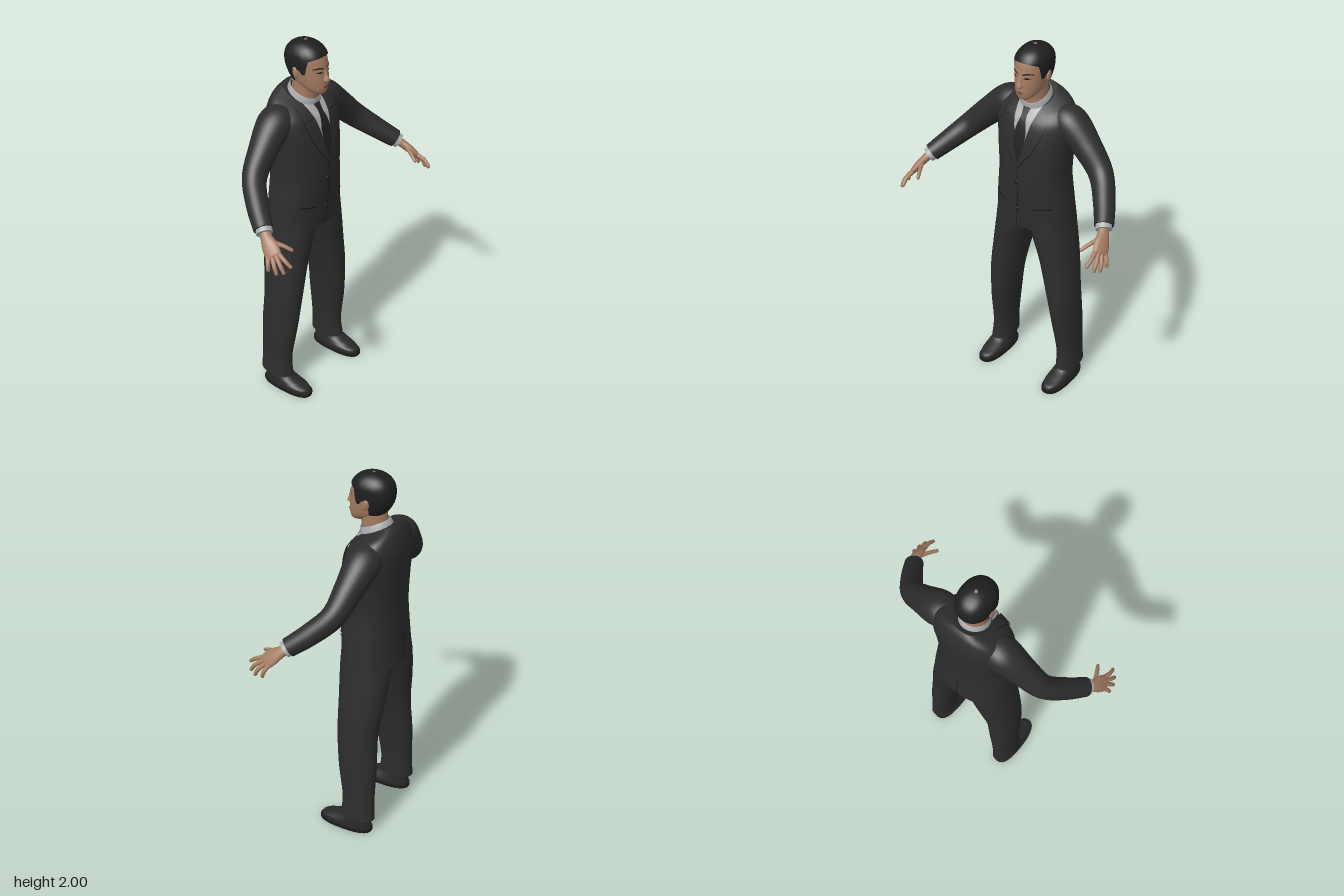
import * as THREE from 'three';

const mat = (name, color, side = THREE.FrontSide) => {
  const m = new THREE.MeshStandardMaterial({ color, side });
  m.name = name;
  return m;
};
const V = (x, y, z) => new THREE.Vector3(x, y, z);

// A ring is [x, y, z, halfWidth, halfDepth, tilt]; rings are blended by a Catmull-Rom spline.
function sample(rings, t) {
  const n = rings.length - 1, f = Math.min(Math.max(t, 0), 1) * n;
  const i = Math.min(Math.floor(f), n - 1), k = f - i;
  const at = (j, c) => rings[Math.min(Math.max(j, 0), n)][c] ?? 0;
  return [0, 1, 2, 3, 4, 5].map((c) => {
    const [a, b, d, e] = [at(i - 1, c), at(i, c), at(i + 1, c), at(i + 2, c)];
    return b + 0.5 * k * (d - a + k * (2 * a - 5 * b + 4 * d - e + k * (3 * (b - d) + e - a)));
  });
}

// Skin over rings: horizontal rings, or rings square to the path when ref is given.
function loft(rings, { n = 32, rows = 8 * (rings.length - 1), p = 2, ref = null, start = () => 0, caps = true } = {}) {
  const pos = [], idx = [];
  const pow = (v) => Math.sign(v) * Math.abs(v) ** (2 / p);
  for (let j = 0; j <= rows; j++) for (let i = 0; i < n; i++) {
    const a = (i / n) * Math.PI * 2, t0 = start(a), t = t0 + (1 - t0) * j / rows;
    const [x, y, z, rx, rz, tilt] = sample(rings, t);
    const u = V(1, 0, 0), v = V(0, -tilt, 1);
    if (ref) {
      const A = sample(rings, t - 0.01), B = sample(rings, t + 0.01);
      const T = V(B[0] - A[0], B[1] - A[1], B[2] - A[2]).normalize();
      v.copy(ref).addScaledVector(T, -ref.dot(T)).normalize();
      u.crossVectors(T, v);
    }
    const q = V(x, y, z).addScaledVector(u, rx * pow(Math.cos(a))).addScaledVector(v, rz * pow(Math.sin(a)));
    pos.push(q.x, q.y, q.z);
  }
  for (let j = 0; j < rows; j++) for (let i = 0; i < n; i++) {
    const a = j * n + i, b = j * n + (i + 1) % n;
    idx.push(a, a + n, b, b, a + n, b + n);
  }
  if (caps) for (const j of [0, rows]) {
    const base = pos.length / 3, c = sample(rings, j / rows);
    for (let i = 0; i < n * 3; i++) pos.push(pos[j * n * 3 + i]);
    pos.push(c[0], c[1], c[2]);
    for (let i = 0; i < n; i++) {
      const k = base + (i + 1) % n;
      if (j) idx.push(base + i, base + n, k); else idx.push(base + i, k, base + n);
    }
  }
  return finish(pos, idx);
}

function finish(pos, idx) {
  const g = new THREE.BufferGeometry();
  g.setAttribute('position', new THREE.Float32BufferAttribute(pos, 3));
  g.setIndex(idx);
  g.computeVertexNormals();
  return g;
}

// Height at (x, y) on the front (dir 1) or back (dir -1) of a horizontal loft.
function surfaceZ(rings, x, y, dir, p) {
  let lo = 0, hi = 1, z = 0;
  for (let k = 0; k < 24; k++) {
    const t = (lo + hi) / 2, r = sample(rings, t);
    const d = dir * r[4] * Math.max(0, 1 - Math.min(1, Math.abs((x - r[0]) / r[3])) ** p) ** (1 / p);
    z = r[2] + d;
    if (r[1] - r[5] * d < y) lo = t; else hi = t;
  }
  return z;
}

// Thin plate between two [x, y] edges, draped over a loft.
function drape(rings, A, B, lift, { dir = 1, p = 2.3 } = {}) {
  const rows = 16, cols = 6, pos = [], idx = [];
  const mean = (E) => E.reduce((s, q) => s + q[0], 0) / E.length;
  if ((mean(A) - mean(B)) * dir > 0) [A, B] = [B, A];
  const along = (E, t) => {
    const f = t * (E.length - 1), i = Math.min(Math.floor(f), E.length - 2), k = f - i;
    return [0, 1].map((c) => E[i][c] * (1 - k) + E[i + 1][c] * k);
  };
  for (let j = 0; j <= rows; j++) for (let i = 0; i <= cols; i++) {
    const a = along(A, j / rows), b = along(B, j / rows), k = i / cols;
    const x = a[0] + (b[0] - a[0]) * k, y = a[1] + (b[1] - a[1]) * k;
    pos.push(x, y, surfaceZ(rings, x, y, dir, p) + dir * lift);
  }
  for (let j = 0; j < rows; j++) for (let i = 0; i < cols; i++) {
    const a = j * (cols + 1) + i, c = a + cols + 1;
    idx.push(a, c, a + 1, a + 1, c, c + 1);
  }
  return finish(pos, idx);
}

export function createModel() {
  const root = new THREE.Group();
  root.name = 'suitedMan';
  const D = THREE.DoubleSide;
  const suit = mat('suit', 0x2d2d2d, D), seam = mat('seam', 0x191919, D), shirt = mat('shirt', 0xa9abad, D);
  const tie = mat('tie', 0x222224, D), skin = mat('skin', 0xa57c62), hair = mat('hair', 0x1f1f1f, D);
  const lips = mat('lips', 0x7f5748, D), shoe = mat('shoe', 0x292929), sole = mat('sole', 0x1c1c1c);
  const add = (name, geo, m) => {
    const mesh = new THREE.Mesh(geo, m);
    mesh.name = name;
    root.add(mesh);
    return mesh;
  };
  const flip = (list, s) => list.map(([x, ...r]) => [x * s, ...r]);

  // Jacket body
  const torso = [
    [0, 1.0, -0.118, 0.222, 0.152], [0, 1.15, -0.108, 0.207, 0.152], [0, 1.3, -0.103, 0.192, 0.152],
    [0, 1.45, -0.108, 0.202, 0.15], [0, 1.55, -0.118, 0.212, 0.144], [0, 1.63, -0.127, 0.205, 0.133, 0.1],
    [0, 1.685, -0.13, 0.165, 0.11, 0.3], [0, 1.715, -0.125, 0.086, 0.087, 0.45],
  ];
  add('jacketBody', loft(torso, { n: 48, p: 2.3 }), suit);
  add('jacketOpening', drape(torso, [[-0.004, 1.38], [-0.004, 1.2], [-0.02, 1.01]], [[0.001, 1.38], [0.001, 1.2], [-0.015, 1.01]], 0.003), seam);
  add('backVent', drape(torso, [[-0.003, 1.005], [-0.003, 1.16]], [[0.003, 1.005], [0.003, 1.16]], 0.003, { dir: -1 }), seam);
  for (const y of [1.28, 1.11]) {
    const b = add('button', new THREE.SphereGeometry(0.011, 16, 10), seam);
    b.scale.z = 0.5;
    b.position.set(-0.008, y, surfaceZ(torso, 0, y, 1, 2.3) + 0.002);
  }

  // Shirt, collar and tie
  add('shirtFront', drape(torso, [[-0.07, 1.7], [-0.052, 1.62], [0, 1.4]], [[0.07, 1.7], [0.052, 1.62], [0, 1.4]], 0.003), shirt);
  add('tieBlade', drape(torso, [[-0.014, 1.645], [-0.034, 1.56], [-0.028, 1.48], [0, 1.39]], [[0.014, 1.645], [0.034, 1.56], [0.028, 1.48], [0, 1.39]], 0.007), tie);
  add('tieKnot', drape(torso, [[-0.022, 1.678], [-0.013, 1.635]], [[0.022, 1.678], [0.013, 1.635]], 0.011), tie);
  add('shirtCollar', loft([[0, 1.695, -0.112, 0.079, 0.083, 0.45], [0, 1.725, -0.104, 0.07, 0.078, 0.45], [0, 1.738, -0.101, 0.065, 0.074, 0.45]], { caps: false }), shirt);

  // Neck and head
  add('neck', loft([[0, 1.64, -0.105, 0.06, 0.066], [0, 1.72, -0.1, 0.058, 0.068], [0, 1.82, -0.09, 0.06, 0.07]]), skin);
  const head = [
    [0, 1.74, -0.01, 0.018, 0.022], [0, 1.748, -0.018, 0.036, 0.04], [0, 1.77, -0.037, 0.055, 0.066],
    [0, 1.8, -0.062, 0.067, 0.093], [0, 1.85, -0.08, 0.076, 0.108], [0, 1.9, -0.088, 0.08, 0.11],
    [0, 1.94, -0.09, 0.077, 0.1], [0, 1.97, -0.092, 0.057, 0.074], [0, 1.986, -0.093, 0.03, 0.036], [0, 1.99, -0.093, 0.002, 0.002],
  ];
  add('head', loft(head, { p: 2.2 }), skin);
  add('nose', loft([[0, 1.811, 0.026, 0.01, 0.012], [0, 1.822, 0.029, 0.017, 0.022], [0, 1.85, 0.024, 0.009, 0.015], [0, 1.882, 0.014, 0.007, 0.01]], { n: 16 }), skin);
  const mouth = (name, y, h, w, m, lift) => add(name, drape(head, [[-w, y], [0, y + h], [w, y]], [[-w, y], [0, y - h], [w, y]], lift, { p: 2.2 }), m);
  mouth('lips', 1.786, 0.008, 0.026, lips, 0.004).material.side = D;
  mouth('mouthLine', 1.786, 0.0015, 0.024, hair, 0.006);

  // Hair grown over the skull from a hairline given by direction (back -1 to front 1)
  const cap = head.map(([x, y, z, a, b], i) => [x, y + (i > 5 ? 0.0025 * (i - 5) : 0), z, a + 0.007, b + 0.006]);
  const line = [[-1, 1.79], [-0.35, 1.8], [-0.1, 1.865], [0.1, 1.875], [0.2, 1.85], [0.36, 1.855], [0.55, 1.925], [0.8, 1.935], [1, 1.94]];
  const hairline = (a) => {
    const s = Math.sin(a), i = Math.max(1, line.findIndex((q) => q[0] >= s - 1e-9));
    const [p, q] = [line[i - 1], line[i]], y = p[1] + (q[1] - p[1]) * (s - p[0]) / (q[0] - p[0]);
    let lo = 0, hi = 1;
    for (let k = 0; k < 20; k++) {
      const m = (lo + hi) / 2;
      if (sample(cap, m)[1] < y) lo = m; else hi = m;
    }
    return lo;
  };
  add('hair', loft(cap, { n: 72, rows: 24, p: 2.2, start: hairline, caps: false }), hair);

  for (const s of [1, -1]) {
    const side = s > 0 ? 'left' : 'right';
    const part = (name, geo, m) => add(side + name, geo, m);
    const plate = (name, rings, A, B, lift, m, p = 2.3) => part(name, drape(rings, flip(A, s), flip(B, s), lift, { p }), m);

    // Face details
    plate('Brow', head, [[0.013, 1.886], [0.035, 1.895], [0.06, 1.888]], [[0.013, 1.879], [0.035, 1.887], [0.06, 1.884]], 0.004, hair, 2.2);
    plate('Eye', head, [[0.019, 1.866], [0.034, 1.873], [0.051, 1.867]], [[0.019, 1.865], [0.034, 1.862], [0.051, 1.866]], 0.004, hair, 2.2);
    const ear = part('Ear', new THREE.SphereGeometry(1, 16, 12), skin);
    ear.scale.set(0.01, 0.031, 0.018);
    ear.position.set(s * 0.083, 1.855, -0.092);
    ear.rotation.set(-0.2, s * 0.25, 0);

    // Lapels, collar points and pockets
    plate('CollarPoint', torso, [[0.07, 1.7], [0.055, 1.655], [0.036, 1.6]], [[0.02, 1.685], [0.02, 1.65], [0.034, 1.6]], 0.01, shirt);
    plate('Lapel', torso, [[0.085, 1.7], [0.058, 1.62], [0.035, 1.51], [-0.004, 1.37]], [[0.11, 1.69], [0.125, 1.6], [0.085, 1.49], [-0.002, 1.365]], 0.009, suit);
    plate('LapelEdge', torso, [[0.11, 1.69], [0.125, 1.6], [0.085, 1.49], [-0.002, 1.365]], [[0.113, 1.69], [0.129, 1.6], [0.089, 1.487], [0.001, 1.361]], 0.007, seam);
    plate('LapelNotch', torso, [[0.066, 1.632], [0.123, 1.622]], [[0.066, 1.628], [0.123, 1.618]], 0.0105, seam);
    plate('Pocket', torso, [[0.085, 1.143], [0.17, 1.155]], [[0.085, 1.134], [0.17, 1.146]], 0.004, seam);

    // Sleeve and cuff
    const out = V(0.7 * s, 0.7, 0);
    part('Sleeve', loft(flip([
      [0.12, 1.62, -0.135, 0.075, 0.07], [0.19, 1.605, -0.137, 0.09, 0.084], [0.3, 1.512, -0.122, 0.073, 0.073],
      [0.4, 1.412, -0.095, 0.06, 0.064], [0.48, 1.327, -0.01, 0.055, 0.055], [0.54, 1.262, 0.075, 0.049, 0.047],
    ], s), { ref: out }), suit);
    part('Cuff', loft(flip([[0.53, 1.27, 0.065, 0.042, 0.04], [0.55, 1.249, 0.09, 0.041, 0.038]], s), { ref: out }), shirt);

    // Hand
    const back = V(0.79 * s, 0.58, 0.19);
    part('Palm', loft(flip([
      [0.54, 1.258, 0.078, 0.028, 0.023], [0.557, 1.237, 0.105, 0.03, 0.022],
      [0.573, 1.21, 0.14, 0.041, 0.02], [0.588, 1.18, 0.173, 0.042, 0.016], [0.592, 1.172, 0.183, 0.034, 0.009],
    ], s), { n: 20, ref: back }), skin);
    const fingers = [
      ['Index', [0.574, 1.188, 0.198], [0.58, 1.17, 0.238], [0.576, 1.145, 0.27]],
      ['Middle', [0.584, 1.182, 0.184], [0.602, 1.15, 0.227], [0.604, 1.117, 0.25]],
      ['Ring', [0.593, 1.175, 0.17], [0.616, 1.14, 0.202], [0.62, 1.107, 0.218]],
      ['Little', [0.602, 1.168, 0.152], [0.622, 1.138, 0.168], [0.626, 1.112, 0.173]],
      ['Thumb', [0.556, 1.226, 0.135], [0.532, 1.21, 0.185], [0.512, 1.19, 0.225]],
    ];
    for (const [name, a, b, c] of fingers) {
      const tip = c.map((v, i) => v + (c[i] - b[i]) * 0.1);
      part(name + 'Finger', loft(flip([[...a, 0.012, 0.012], [...b, 0.0105, 0.0105], [...c, 0.0085, 0.0085], [...tip, 0.003, 0.003]], s), { n: 12, rows: 12, ref: back }), skin);
    }

    // Trouser leg
    part('TrouserLeg', loft(flip([
      [0.222, 0.085, -0.128, 0.059, 0.098], [0.217, 0.2, -0.13, 0.057, 0.091], [0.204, 0.4, -0.118, 0.067, 0.107],
      [0.183, 0.6, -0.107, 0.082, 0.111], [0.149, 0.8, -0.114, 0.094, 0.126], [0.113, 0.96, -0.115, 0.108, 0.137], [0.108, 1.06, -0.112, 0.1, 0.13],
    ], s), { p: 2.1 }), suit);

    // Shoe
    part('Sole', loft(flip([[0.218, 0, -0.057, 0.061, 0.153], [0.218, 0.018, -0.057, 0.062, 0.153]], s), { p: 2.5, rows: 2 }), sole);
    part('Shoe', loft(flip([
      [0.218, 0.015, -0.058, 0.058, 0.148], [0.218, 0.037, -0.062, 0.058, 0.142], [0.219, 0.055, -0.085, 0.054, 0.115],
      [0.22, 0.08, -0.115, 0.05, 0.085], [0.22, 0.12, -0.125, 0.046, 0.075],
    ], s), { p: 2.3 }), shoe);
  }
  return root;
}
